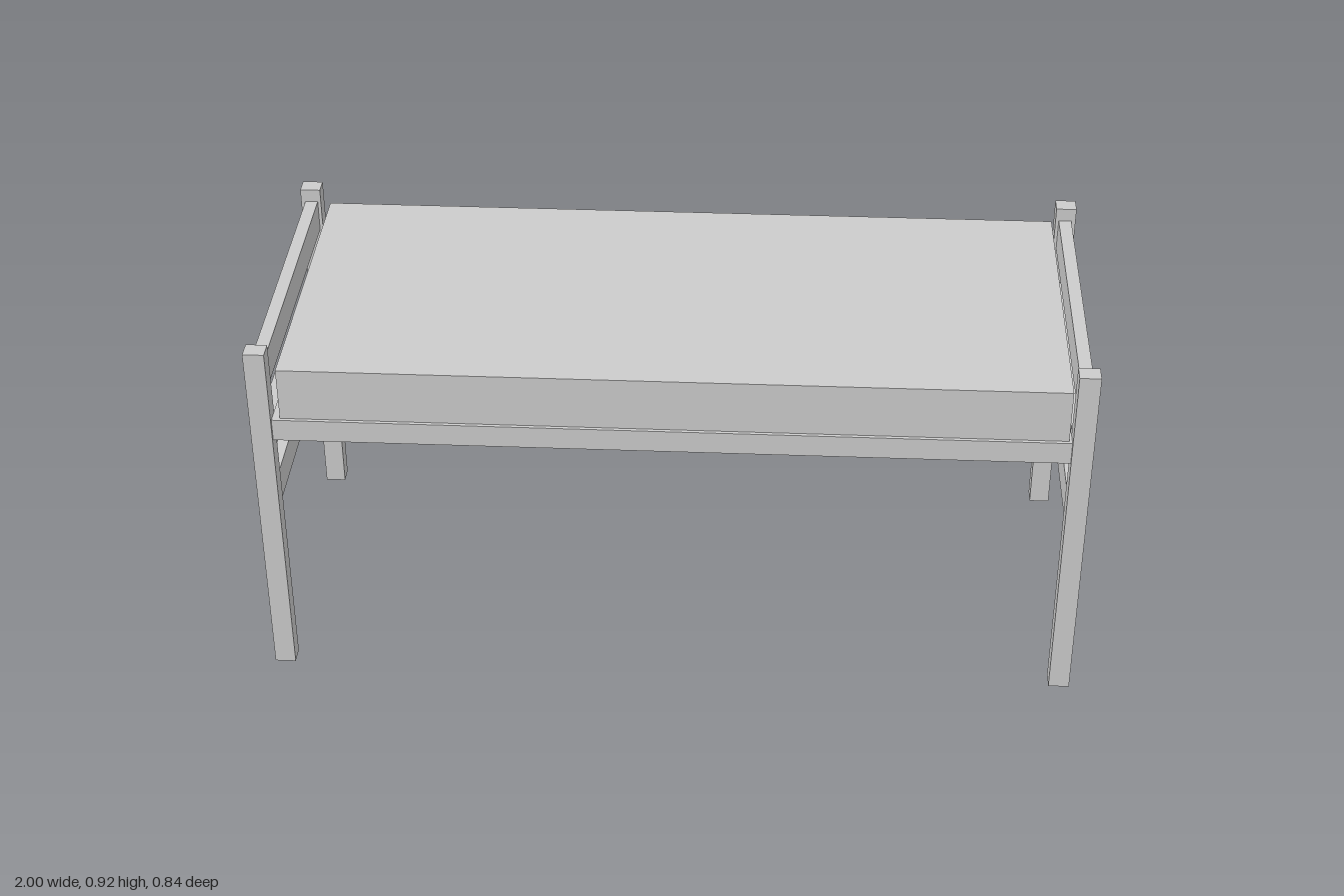
import * as THREE from 'three';

export function createModel() {
  const bed = new THREE.Group();
  bed.name = 'bed';
  const material = new THREE.MeshStandardMaterial({ color: 0xcccccc, flatShading: true });

  // Box given by its lower and upper limits on each axis
  function addBox(name, [x0, x1], [y0, y1], [z0, z1], parent = bed) {
    const mesh = new THREE.Mesh(new THREE.BoxGeometry(x1 - x0, y1 - y0, z1 - z0), material);
    mesh.position.set((x0 + x1) / 2, (y0 + y1) / 2, (z0 + z1) / 2);
    mesh.name = name;
    parent.add(mesh);
  }

  // Platform and mattress
  addBox('platform', [-0.949, 0.949], [0.673, 0.73], [-0.414, 0.412]);
  addBox('mattress', [-0.93, 0.942], [0.73, 0.865], [-0.404, 0.403]);

  // Two end frames: a pair of posts joined by three rails
  for (const side of [-1, 1]) {
    const end = new THREE.Group();
    end.name = side < 0 ? 'rightEndFrame' : 'leftEndFrame';
    const span = (a, b) => (side < 0 ? [-b, -a] : [a, b]);
    addBox('frontPost', span(0.949, 1), [0, 0.918], [0.375, 0.42], end);
    addBox('backPost', span(0.949, 1), [0, 0.918], [-0.42, -0.375], end);
    const rails = { lowerRail: 0.457, middleRail: 0.617, upperRail: 0.801 };
    for (const [name, y] of Object.entries(rails)) {
      addBox(name, span(0.957, 0.989), [y, y + 0.083], [-0.375, 0.375], end);
    }
    bed.add(end);
  }
  return bed;
}
